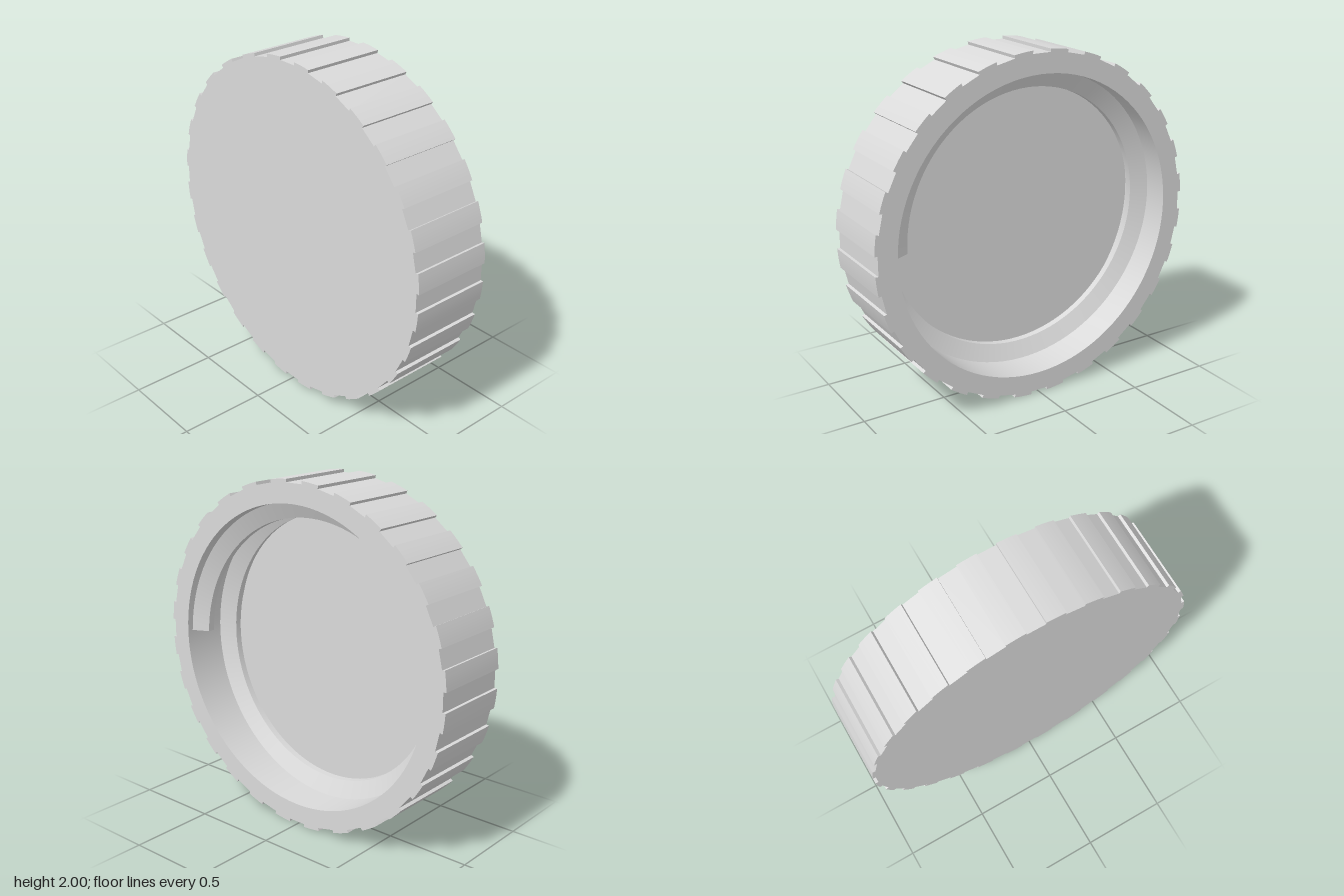
import * as THREE from 'three';
import { toCreasedNormals } from 'three/addons/utils/BufferGeometryUtils.js';

const BACK = -0.24;        // z of the open rim
const FRONT = 0.24;        // z of the closed face
const FLOOR = 0.12;        // z of the inside floor
const BORE = 0.87;         // inside radius
const NOTCHES = 28;

const polar = (r, a) => new THREE.Vector2(Math.cos(a) * r, Math.sin(a) * r);

// Round outline with shallow flat-bottomed grip notches
function gripOutline() {
  const pts = [];
  const step = (Math.PI * 2) / NOTCHES;
  const half = 0.055;      // half width of a notch
  const low = 0.981;       // distance of the notch bottom from the axis
  const side = Math.atan(half / low);
  const r = Math.hypot(half, low);
  for (let i = 0; i < NOTCHES; i++) {
    const mid = i * step;
    pts.push(polar(r, mid - side), polar(r, mid + side));
    for (let k = 0; k <= 4; k++) {
      pts.push(polar(1, mid + half + ((step - 2 * half) * k) / 4));
    }
  }
  return pts;
}

function indexed(pos, index) {
  const geo = new THREE.BufferGeometry();
  geo.setAttribute('position', new THREE.Float32BufferAttribute(pos, 3));
  geo.setIndex(index);
  return toCreasedNormals(geo, 0.35);
}

// Band following a closed outline between two depths;
// it faces outward when the outline runs anticlockwise
function band(outline, z0, z1) {
  const pos = [];
  const index = [];
  const n = outline.length;
  outline.forEach((p, i) => {
    pos.push(p.x, p.y, z0, p.x, p.y, z1);
    const a = i * 2;
    const b = ((i + 1) % n) * 2;
    index.push(a, b, a + 1, b, b + 1, a + 1);
  });
  return indexed(pos, index);
}

// Helical ridge with a trapezoid section, starting at +x by the opening
// and sinking into the floor
function threadGeometry(turns, pitch) {
  const section = [[0.873, 0.034], [0.775, 0.081], [0.775, 0.12], [0.873, 0.167]];
  const n = section.length;
  const steps = Math.round(turns * 96);
  const pos = [];
  const index = [];
  for (let k = 0; k <= steps; k++) {
    const t = (turns * k) / steps;
    const a = t * Math.PI * 2;
    for (const [r, d] of section) {
      const z = Math.min(BACK + d + pitch * t, FLOOR + 0.01);
      pos.push(Math.cos(a) * r, Math.sin(a) * r, z);
    }
    if (k === steps) continue;
    for (let i = 0; i < n - 1; i++) {
      const p = k * n + i;
      index.push(p, p + 1, p + n, p + 1, p + n + 1, p + n);
    }
  }
  // Flat face at the start
  index.push(0, 2, 1, 0, 3, 2);
  return indexed(pos, index);
}

export function createModel() {
  const group = new THREE.Group();
  group.name = 'screwCap';
  const grey = new THREE.MeshStandardMaterial({ color: 0xdadada });
  grey.name = 'grey';

  const add = (name, geometry, z = 0) => {
    const mesh = new THREE.Mesh(geometry, grey);
    mesh.name = name;
    mesh.position.set(0, 1, z);
    group.add(mesh);
  };

  const grip = gripOutline();
  const circle = Array.from({ length: 96 }, (_, i) => polar(BORE, (-i * Math.PI) / 48));

  // Outside: notched grip and closed front
  add('grip', band(grip, BACK, FRONT));
  add('frontFace', new THREE.ShapeGeometry(new THREE.Shape(grip)), FRONT);

  // Open back: rim ring, inside wall and floor
  const ring = new THREE.Shape(grip);
  ring.holes.push(new THREE.Path(circle));
  add('rim', new THREE.ShapeGeometry(ring).rotateY(Math.PI), BACK);
  add('insideWall', band(circle, BACK, FLOOR));
  add('insideFloor', new THREE.ShapeGeometry(new THREE.Shape(circle)).rotateY(Math.PI), FLOOR);

  // Inside screw thread
  add('thread', threadGeometry(1.42, 0.23));

  return group;
}
